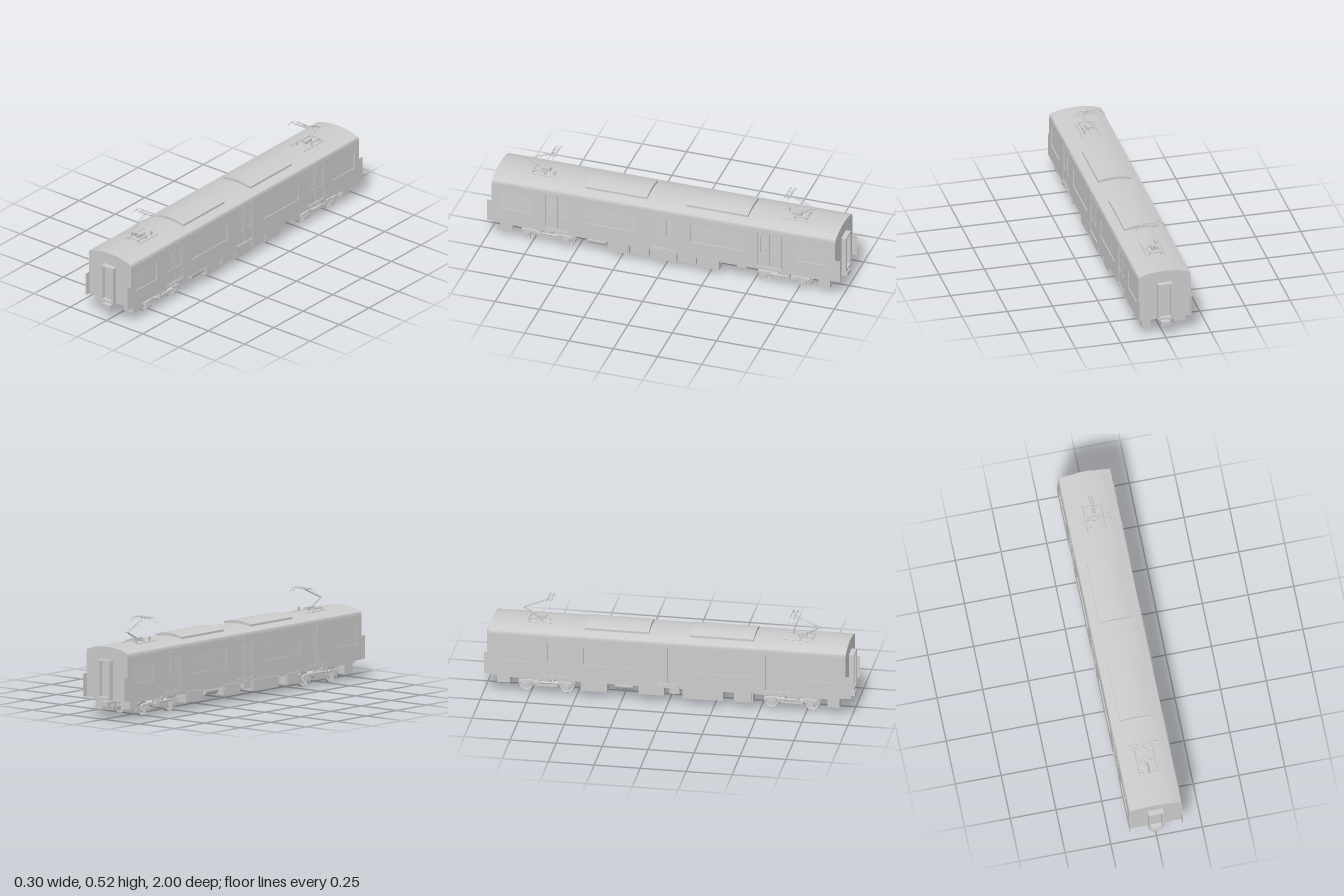
import * as THREE from 'three';
import { toCreasedNormals } from 'three/addons/utils/BufferGeometryUtils.js';

const grey = new THREE.MeshStandardMaterial({ color: 0xcccccc, side: THREE.DoubleSide });

function add(parent, name, geo, x = 0, y = 0, z = 0) {
  const m = new THREE.Mesh(geo, grey);
  m.name = name;
  m.position.set(x, y, z);
  parent.add(m);
  return m;
}

// Box given by its limits on each axis
function box(parent, name, x0, x1, y0, y1, z0, z1) {
  return add(parent, name, new THREE.BoxGeometry(Math.abs(x1 - x0), y1 - y0, Math.abs(z1 - z0)),
    (x0 + x1) / 2, (y0 + y1) / 2, (z0 + z1) / 2);
}

// Round bar between two points
function rod(parent, name, a, b, r, sides = 8) {
  const p = new THREE.Vector3(...a), q = new THREE.Vector3(...b);
  const m = add(parent, name, new THREE.CylinderGeometry(r, r, p.distanceTo(q), sides));
  m.position.copy(p).add(q).multiplyScalar(0.5);
  m.quaternion.setFromUnitVectors(new THREE.Vector3(0, 1, 0), q.sub(p).normalize());
  return m;
}

function path(P, x0, x1, y0, y1, r) {
  const p = new P();
  p.moveTo(x0 + r, y0);
  p.lineTo(x1 - r, y0); p.quadraticCurveTo(x1, y0, x1, y0 + r);
  p.lineTo(x1, y1 - r); p.quadraticCurveTo(x1, y1, x1 - r, y1);
  p.lineTo(x0 + r, y1); p.quadraticCurveTo(x0, y1, x0, y1 - r);
  p.lineTo(x0, y0 + r); p.quadraticCurveTo(x0, y0, x0 + r, y0);
  return p;
}

// Upright sheet along z with openings, its outer face on x = 0
function sidePanel(outline, holes, depth) {
  const s = path(THREE.Shape, ...outline);
  s.holes = holes.map((h) => path(THREE.Path, ...h));
  return new THREE.ExtrudeGeometry(s, { depth, bevelEnabled: false, curveSegments: 4 }).rotateY(-Math.PI / 2);
}

const doorCentres = [-0.6, 0, 0.6];

function buildBody(g) {
  // Core with the roof curve; the side sheets fill the step below the eaves
  const half = [[0.14, 0.105], [0.14, 0.345], [0.145, 0.345], [0.144, 0.358], [0.141, 0.365], [0.135, 0.368],
    [0.125, 0.37], [0.11, 0.376], [0.09, 0.381], [0.06, 0.386], [0.03, 0.389], [0, 0.39]];
  const pts = [...half, ...half.slice(0, -1).reverse().map(([x, y]) => [-x, y])];
  const shape = new THREE.Shape(pts.map((p) => new THREE.Vector2(...p)));
  const geo = new THREE.ExtrudeGeometry(shape, { depth: 1.94, bevelEnabled: false }).translate(0, 0, -0.97);
  add(g, 'bodyAndRoof', toCreasedNormals(geo, 0.5));
  box(g, 'underframe', -0.13, 0.13, 0.09, 0.106, -0.93, 0.93);

  const doors = doorCentres.map((z) => [z - 0.068, z + 0.068, 0.115, 0.335, 0.008]);
  const windows = [[-0.93, -0.75], [-0.455, -0.15], [0.15, 0.455], [0.75, 0.93]].map(([a, b]) => [a, b, 0.195, 0.3, 0.006]);
  const sheet = sidePanel([-0.97, 0.97, 0.105, 0.345, 0.0005], [...doors, ...windows], 0.005);
  const leaf = sidePanel([-0.033, 0.033, 0.116, 0.334, 0.003], [[-0.02, 0.02, 0.2, 0.31, 0.006]], 0.003);
  for (const s of [1, -1]) {
    add(g, 'sideWall', sheet, s > 0 ? 0.145 : -0.14);
    for (const z of doorCentres) {
      for (const k of [-1, 1]) add(g, 'doorLeaf', leaf, s > 0 ? 0.143 : -0.14, 0, z + k * 0.0342);
      box(g, 'doorStep', s * 0.14, s * 0.148, 0.121, 0.125, z - 0.068, z + 0.068);
      box(g, 'doorRail', s * 0.14, s * 0.1465, 0.335, 0.338, z - 0.07, z + 0.07);
    }
    // Small ventilation slots below the eaves
    for (const c of [-0.84, -0.49, -0.12, 0.12, 0.49, 0.84])
      for (let i = -2; i <= 2; i++)
        box(g, 'ventSlot', s * 0.14, s * 0.1462, 0.35, 0.354, c + i * 0.02 - 0.006, c + i * 0.02 + 0.006);
  }
}

function buildEnd(g) {
  // Gangway frame, inner door, coupler and corner guards
  const s = path(THREE.Shape, -0.042, 0.042, 0.108, 0.322, 0.003);
  s.holes.push(path(THREE.Path, -0.03, 0.03, 0.12, 0.31, 0.003));
  add(g, 'gangwayFrame', new THREE.ExtrudeGeometry(s, { depth: 0.03, bevelEnabled: false }), 0, 0, 0.968);
  box(g, 'gangwayDoor', -0.03, 0.03, 0.12, 0.31, 0.965, 0.975);
  for (const k of [-1, 1]) box(g, 'cornerGuard', k * 0.141, k * 0.145, 0.108, 0.235, 0.96, 0.998);
  box(g, 'couplerShank', -0.012, 0.012, 0.076, 0.092, 0.87, 0.975);
  box(g, 'couplerHead', -0.025, 0.025, 0.072, 0.096, 0.965, 1);
  box(g, 'endBox', -0.115, -0.067, 0.037, 0.106, 0.865, 0.93);
  box(g, 'endBox', 0.063, 0.127, 0.056, 0.106, 0.86, 0.93);
}

function buildCooler(g, z) {
  // Arched roof cooling unit
  const s = new THREE.Shape();
  s.moveTo(-0.092, 0.375);
  s.lineTo(0.092, 0.375);
  s.lineTo(0.092, 0.392);
  s.quadraticCurveTo(0, 0.42, -0.092, 0.392);
  const geo = new THREE.ExtrudeGeometry(s, { depth: 0.35, bevelEnabled: false, curveSegments: 16 });
  add(g, 'roofCooler', toCreasedNormals(geo, 0.5), 0, 0, z - 0.175);
}

function buildBogie(g) {
  const tyre = [[0.008, -0.012], [0.018, -0.012], [0.02, -0.004], [0.036, -0.004], [0.038, -0.008], [0.045, -0.008],
    [0.042, 0.005], [0.04, 0.008], [0.036, 0.006], [0.02, 0.004], [0.018, 0.008], [0.008, 0.008]];
  const wheel = toCreasedNormals(new THREE.LatheGeometry(tyre.map((p) => new THREE.Vector2(...p)), 24).rotateZ(Math.PI / 2), 0.6);
  for (const z of [-0.111, 0.111]) {
    rod(g, 'axle', [-0.112, 0.045, z], [0.112, 0.045, z], 0.009, 12);
    for (const s of [-1, 1]) {
      add(g, 'wheel', wheel, s * 0.079, 0.045, z).rotation.y = s > 0 ? Math.PI : 0;
      box(g, 'axleBox', s * 0.098, s * 0.12, 0.03, 0.06, z - 0.018, z + 0.018);
      rod(g, 'axleCap', [s * 0.118, 0.045, z], [s * 0.124, 0.045, z], 0.011, 12);
      for (const k of [-1, 1]) rod(g, 'axleSpring', [s * 0.107, 0.04, z + k * 0.024], [s * 0.107, 0.064, z + k * 0.024], 0.008, 10);
    }
  }
  // Dropped side frames in the y-z plane
  const f = new THREE.Shape([[-0.145, 0.06], [-0.08, 0.06], [-0.05, 0.044], [0.05, 0.044], [0.08, 0.06], [0.145, 0.06],
    [0.145, 0.068], [0.08, 0.074], [0.05, 0.062], [-0.05, 0.062], [-0.08, 0.074], [-0.145, 0.068]].map((p) => new THREE.Vector2(...p)));
  const frame = new THREE.ExtrudeGeometry(f, { depth: 0.02, bevelEnabled: false }).rotateY(-Math.PI / 2);
  for (const s of [-1, 1]) {
    add(g, 'bogieSideFrame', frame, s * 0.107 + 0.01);
    rod(g, 'airSpring', [s * 0.1, 0.06, 0], [s * 0.1, 0.092, 0], 0.03, 16);
    rod(g, 'springSeat', [s * 0.1, 0.088, 0], [s * 0.1, 0.1, 0], 0.038, 16);
    rod(g, 'damper', [s * 0.128, 0.072, -0.07], [s * 0.128, 0.072, 0.03], 0.006);
    box(g, 'damperBracket', s * 0.11, s * 0.132, 0.058, 0.1, 0.025, 0.04);
    for (const k of [-1, 1]) box(g, 'brakeUnit', s * 0.068, s * 0.098, 0.036, 0.058, k * 0.04, k * 0.062);
  }
  box(g, 'bogieCrossBeam', -0.1, 0.1, 0.038, 0.055, -0.035, 0.035);
  for (const z of [-0.06, 0.06]) rod(g, 'driveMotor', [-0.055, 0.046, z], [0.055, 0.046, z], 0.012, 14);
}

function buildPantograph(g) {
  // Base frame on insulators
  for (const s of [-1, 1]) {
    box(g, 'baseRail', s * 0.029, s * 0.035, 0.397, 0.403, 0.7, 0.775);
    for (const z of [0.705, 0.77]) rod(g, 'insulator', [s * 0.032, 0.383, z], [s * 0.032, 0.399, z], 0.006);
    rod(g, 'roofConduit', [s * 0.05, 0.388, 0.62], [s * 0.05, 0.388, 0.785], 0.003, 6);
  }
  for (const z of [0.703, 0.772]) box(g, 'baseCrossBar', -0.035, 0.035, 0.397, 0.403, z - 0.003, z + 0.003);
  box(g, 'raisingCylinder', -0.01, 0.01, 0.392, 0.41, 0.685, 0.735);
  box(g, 'arrester', 0.025, 0.033, 0.385, 0.412, 0.65, 0.66);
  // Folded arm
  rod(g, 'lowerArm', [0, 0.402, 0.71], [0, 0.45, 0.803], 0.0035);
  rod(g, 'controlRod', [0.006, 0.4, 0.73], [0.006, 0.443, 0.803], 0.0015, 6);
  rod(g, 'kneeJoint', [-0.01, 0.45, 0.803], [0.01, 0.45, 0.803], 0.003);
  for (const s of [-1, 1]) rod(g, 'upperArm', [s * 0.007, 0.45, 0.803], [s * 0.005, 0.51, 0.665], 0.0018, 6);
  // Collector head with drooping horns
  for (const z of [0.65, 0.675]) {
    box(g, 'contactStrip', -0.04, 0.04, 0.513, 0.518, z - 0.003, z + 0.003);
    for (const s of [-1, 1]) {
      const c = new THREE.CatmullRomCurve3([[0.038, 0.517], [0.056, 0.517], [0.07, 0.51], [0.086, 0.49]]
        .map(([x, y]) => new THREE.Vector3(s * x, y, z)));
      add(g, 'collectorHorn', new THREE.TubeGeometry(c, 10, 0.0013, 5));
    }
  }
  for (const s of [-1, 1]) rod(g, 'headLink', [s * 0.036, 0.511, 0.65], [s * 0.036, 0.511, 0.675], 0.0018, 6);
  rod(g, 'headBar', [-0.038, 0.511, 0.664], [0.038, 0.511, 0.664], 0.0018, 6);
}

function buildEquipment(g) {
  // [front z, back z, bottom y, inner |x|] for each side
  const rows = {
    1: [[0.32, 0.2, 0.04, 0.07], [0.19, 0.085, 0.05, 0.08], [0.08, -0.07, 0.04, 0.065], [-0.075, -0.18, 0.05, 0.08],
      [-0.185, -0.31, 0.04, 0.065], [-0.41, -0.465, 0.08, 0.085]],
    '-1': [[0.465, 0.36, 0.04, 0.07], [0.3, 0.08, 0.038, 0.065], [0.065, 0.01, 0.06, 0.08], [-0.02, -0.16, 0.045, 0.075],
      [-0.33, -0.475, 0.04, 0.065]],
  };
  for (const s of [1, -1])
    for (const [a, b, y, x] of rows[s]) {
      box(g, 'underfloorBox', s * x, s * 0.133, y, 0.1, b, a);
      box(g, 'underfloorCover', s * 0.133, s * 0.137, y + 0.012, 0.1, b + 0.008, a - 0.008);
    }
  rod(g, 'airTank', [0.11, 0.082, 0.33], [0.11, 0.082, 0.435], 0.022, 18);
  rod(g, 'airTank', [-0.1, 0.078, -0.19], [-0.1, 0.078, -0.29], 0.022, 18);
}

export function createModel() {
  const car = new THREE.Group();
  car.name = 'railCar';
  const part = (name, build, ...args) => {
    const g = new THREE.Group();
    g.name = name;
    build(g, ...args);
    car.add(g);
    return g;
  };
  part('body', buildBody);
  part('underfloorEquipment', buildEquipment);
  for (const k of [1, -1]) {
    const turn = k > 0 ? 0 : Math.PI;
    part('carEnd', buildEnd).rotation.y = turn;
    part('cooler', buildCooler, k * 0.285);
    part('pantograph', buildPantograph).rotation.y = turn;
    const bogie = part('bogie', buildBogie);
    bogie.position.z = k * 0.668;
    bogie.rotation.y = turn;
  }
  return car;
}
